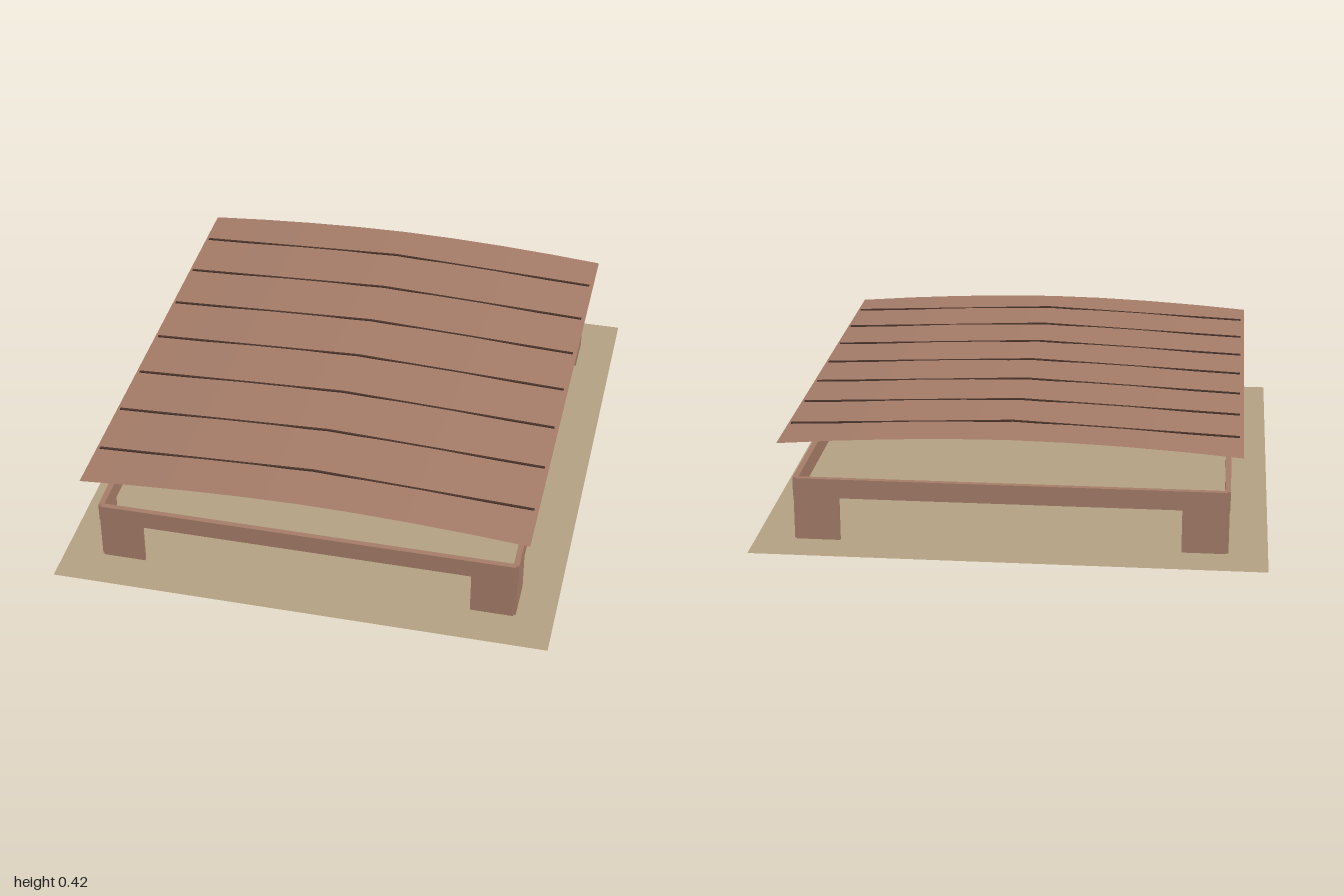
import * as THREE from 'three';

export function createModel() {
  const model = new THREE.Group();
  const wood = new THREE.MeshStandardMaterial({ name: 'brownWood', color: 0xa57c68, side: THREE.DoubleSide });
  const ground = new THREE.MeshStandardMaterial({ name: 'sandGround', color: 0xb3a182, side: THREE.DoubleSide });
  const dark = new THREE.MeshStandardMaterial({ name: 'darkSeam', color: 0x4a342b });

  function add(name, geometry, material, x = 0, y = 0, z = 0, parent = model) {
    const mesh = new THREE.Mesh(geometry, material);
    mesh.name = name;
    mesh.position.set(x, y, z);
    parent.add(mesh);
    return mesh;
  }

  // Raise each vertex by a height that depends on x
  function bend(geometry, height) {
    const p = geometry.attributes.position;
    for (let i = 0; i < p.count; i++) p.setY(i, p.getY(i) + height(p.getX(i)));
    geometry.computeVertexNormals();
    return geometry;
  }

  // Flat base sheet
  add('basePlate', new THREE.PlaneGeometry(1.8, 2).rotateX(-Math.PI / 2), ground);

  // Gently arched roof sheet
  const roof = new THREE.PlaneGeometry(1.61, 1.8, 8, 1).rotateX(-Math.PI / 2);
  add('roofSheet', bend(roof, x => 0.373 + 0.039 * (1 - Math.pow(Math.abs(x) / 0.805, 1.8))), wood);

  // Seven thin seams across the roof
  for (let i = -3; i <= 3; i++) {
    const seam = bend(new THREE.BoxGeometry(1.58, 0.005, 0.008, 8, 1, 1), x => 0.417 - 0.043 * Math.abs(x));
    add('roofSeam', seam, dark, 0, 0, i * 0.238);
  }

  // One side of the frame: a top rail on two wide, thin legs
  function frameSide(name, halfLength, distance, angle) {
    const side = new THREE.Group();
    side.name = name;
    side.rotation.y = angle;
    add('rail', new THREE.BoxGeometry(halfLength * 2, 0.07, 0.02), wood, 0, 0.193, distance - 0.01, side);
    for (const s of [-1, 1]) {
      add('leg', new THREE.BoxGeometry(0.155, 0.158, 0.01), wood, s * (halfLength - 0.0775), 0.079, distance - 0.007, side);
    }
    model.add(side);
  }
  frameSide('frontFrame', 0.755, 0.855, 0);
  frameSide('backFrame', 0.755, 0.855, Math.PI);
  frameSide('leftFrame', 0.845, 0.765, Math.PI / 2);
  frameSide('rightFrame', 0.845, 0.765, -Math.PI / 2);

  return model;
}
